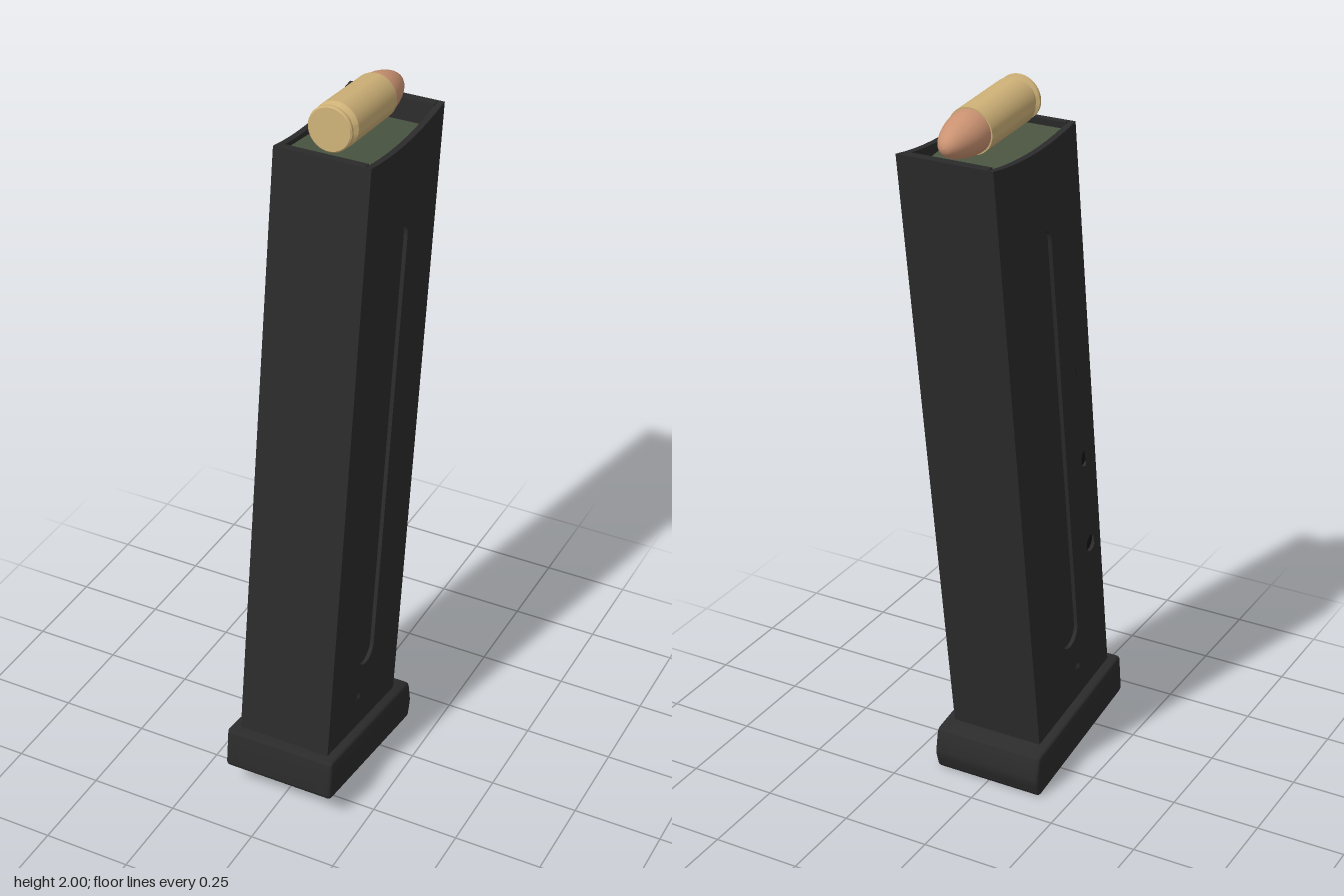
import * as THREE from 'three';
import { toCreasedNormals } from 'three/addons/utils/BufferGeometryUtils.js';

const mat = (name, color) => {
  const m = new THREE.MeshStandardMaterial({ color });
  m.name = name;
  return m;
};

export function createModel() {
  const black = mat('matte black', 0x2b2b2c);
  const dark = mat('hole black', 0x151515);
  const green = mat('follower green', 0x4a5541);
  const brass = mat('brass', 0xcdb077);
  const copper = mat('copper', 0xca9272);
  const model = new THREE.Group();
  model.name = 'magazine';

  const add = (name, geo, material, parent = model) => {
    const mesh = new THREE.Mesh(geo, material);
    mesh.name = name;
    parent.add(mesh);
    return mesh;
  };

  // Side profile from [z, y, cornerRadius] points
  const profile = (pts) => {
    const v = pts.map(([z, y]) => new THREE.Vector2(-z, y));
    const s = new THREE.Shape();
    pts.forEach(([, , r = 0], i) => {
      const p = v[i];
      const toward = (q) => q.clone().sub(p).setLength(r).add(p);
      const a = r ? toward(v.at(i - 1)) : p;
      if (i) s.lineTo(a.x, a.y);
      else s.moveTo(a.x, a.y);
      if (r) {
        const b = toward(v[(i + 1) % v.length]);
        s.quadraticCurveTo(p.x, p.y, b.x, b.y);
      }
    });
    s.closePath();
    return s;
  };

  // Extrude a side profile across the width from x0 to x1
  const across = (shape, x0, x1, bevel = 0) => {
    const g = new THREE.ExtrudeGeometry(shape, {
      depth: x1 - x0 - 2 * bevel, curveSegments: 10,
      bevelEnabled: bevel > 0, bevelSize: bevel, bevelThickness: bevel, bevelOffset: -bevel, bevelSegments: 3,
    });
    g.translate(0, 0, bevel).rotateY(Math.PI / 2).translate(x0, 0, 0);
    return toCreasedNormals(g, 0.6);
  };

  // The body leans: z of its back and front faces at height y
  const LEAN = 0.1415;
  const backZ = (y) => 0.068 + (1.883 - y) * LEAN;
  const frontZ = (y) => -0.352 + (1.88 - y) * LEAN;
  const HALF = 0.135, INNER = 0.118;

  // Side walls with dipped lips and a long recessed slot
  const wallShape = () => {
    const s = new THREE.Shape();
    s.moveTo(-backZ(0.13), 0.13);
    s.lineTo(-frontZ(0.09), 0.09);
    s.lineTo(-frontZ(1.88), 1.88);
    s.quadraticCurveTo(0.14, 1.842, -backZ(1.883), 1.883);
    s.closePath();
    const r = 0.045, tilt = Math.atan(LEAN), slot = new THREE.Path();
    slot.absarc(0.1, 1.6, r, -tilt, Math.PI - tilt, false);
    slot.absarc(-0.07, 0.4, r, Math.PI - tilt, 2 * Math.PI - tilt, false);
    slot.closePath();
    s.holes.push(slot);
    return s;
  };
  add('leftWall', across(wallShape(), INNER, HALF), black);

  // Right wall also carries four round witness holes near the back edge
  const rightShape = wallShape();
  for (const y of [1.48, 1.195, 0.91, 0.63]) {
    const z = backZ(y) - 0.055;
    const hole = new THREE.Path();
    hole.absarc(-z, y, 0.026, 0, Math.PI * 2, true);
    rightShape.holes.push(hole);
    const disc = new THREE.CircleGeometry(0.03, 20).rotateY(-Math.PI / 2);
    add('witnessHole', disc, dark).position.set(-0.1248, y, z);
  }
  add('rightWall', across(rightShape, -HALF, -INNER), black);

  // Front and back walls, and the inner core that forms the slot floors
  const slab = (y0, y1, za, zb) => profile([[za(y0), y0], [zb(y0), y0], [zb(y1), y1], [za(y1), y1]]);
  add('backWall', across(slab(0.12, 1.883, backZ, (y) => backZ(y) - 0.021), -INNER, INNER), black);
  add('frontWall', across(slab(0.1, 1.88, (y) => frontZ(y) + 0.027, frontZ), -INNER, INNER), black);
  add('core', across(slab(0.12, 1.75, (y) => backZ(y) - 0.01, (y) => frontZ(y) + 0.01), -0.124, 0.124), black);

  // Small catch dimples low on both sides
  for (const side of [-1, 1]) {
    const dimple = new THREE.CylinderGeometry(0.004, 0.013, 0.006, 12).rotateZ(-side * Math.PI / 2);
    add('catchDimple', dimple, black).position.set(side * (HALF + 0.003), 0.265, 0.12);
  }

  // Sloping follower under the round
  add('follower', across(profile([[0.05, 1.865], [0.056, 1.74], [-0.315, 1.74], [-0.326, 1.82]]), -INNER, INNER), green);

  // Base plate: rounded cheeks either side of a centre with grooves underneath
  const base = new THREE.Group();
  base.name = 'basePlate';
  model.add(base);
  const rear = [0.35, 0.076], fore = [-0.155, 0];
  const outline = (grooves) => {
    const pts = [[0.335, 0.2, 0.015], [...rear, 0.018]];
    const at = (t, up) => [
      rear[0] + (fore[0] - rear[0]) * t + up * 0.149,
      rear[1] + (fore[1] - rear[1]) * t + up,
    ];
    for (let i = 0; i < grooves; i++) {
      const t = 0.12 + i * 0.1, w = 0.045;
      pts.push(at(t, 0), at(t, 0.014), at(t + w, 0.014), at(t + w, 0));
    }
    pts.push([...fore, 0.012], [-0.171, 0.052, 0.015], [-0.157, 0.127, 0.015]);
    return profile(pts);
  };
  add('groovedCentre', across(outline(8), -0.128, 0.128), black, base);
  add('leftCheek', across(outline(0), 0.115, 0.163, 0.01), black, base);
  add('rightCheek', across(outline(0), -0.163, -0.115, 0.01), black, base);

  // Cartridge lying on the follower, nose forward and slightly down
  const round = new THREE.Group();
  round.name = 'cartridge';
  round.position.set(0, 1.939, 0.028);
  round.rotation.x = -THREE.MathUtils.degToRad(94);
  model.add(round);
  const lathe = (pts) => new THREE.LatheGeometry(pts, 40);
  const vec = (list) => list.map(([r, y]) => new THREE.Vector2(r, y));
  const casing = vec([[0, 0], [0.057, 0], [0.061, 0.004], [0.061, 0.011], [0.052, 0.015], [0.052, 0.025],
    [0.0625, 0.036], [0.0615, 0.253], [0.057, 0.253]]);
  add('casing', toCreasedNormals(lathe(casing), 0.4), brass, round);
  const nose = new THREE.SplineCurve(vec([[0.058, 0.245], [0.0565, 0.275], [0.051, 0.305], [0.041, 0.337],
    [0.029, 0.361], [0.015, 0.376], [0, 0.381]]));
  add('bullet', lathe(nose.getPoints(24)), copper, round);

  return model;
}
